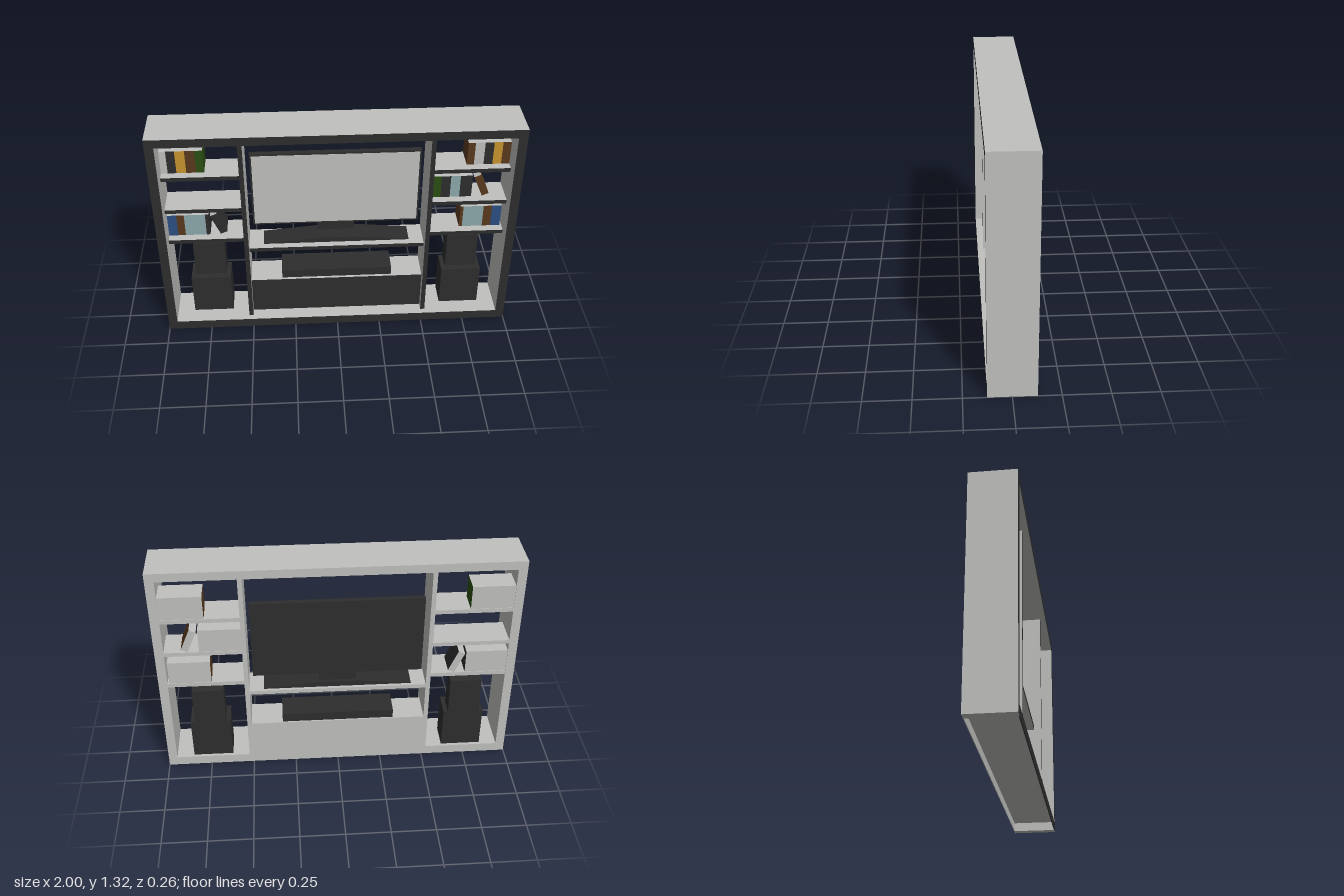
import * as THREE from 'three';

const mat = (name, color) => {
  const m = new THREE.MeshStandardMaterial({ color });
  m.name = name;
  return m;
};

export function createModel() {
  const light = mat('light grey', 0xc0c0be);
  const dark = mat('charcoal', 0x2d2d2d);
  const green = mat('green', 0x2b4f12);
  const gold = mat('gold', 0xc8952e);
  const brown = mat('brown', 0x5a3a1e);
  const blue = mat('blue', 0x2b4f82);
  const teal = mat('pale teal', 0x8ca9aa);

  const model = new THREE.Group();
  model.name = 'mediaWall';
  const group = (name) => {
    const g = new THREE.Group();
    g.name = name;
    model.add(g);
    return g;
  };

  // Box given by its limits on each axis
  function box(parent, name, [x0, x1], [y0, y1], [z0, z1], material) {
    const mesh = new THREE.Mesh(new THREE.BoxGeometry(x1 - x0, y1 - y0, z1 - z0), material);
    mesh.position.set((x0 + x1) / 2, (y0 + y1) / 2, (z0 + z1) / 2);
    mesh.name = name;
    parent.add(mesh);
    return mesh;
  }
  // Light board with a dark front edge (sides, top, bottom, front, back)
  const board = [light, light, light, light, dark, light];
  const Z = 0.128, H = 1.315;

  // Outer frame
  const frame = group('frame');
  for (const s of [-1, 1]) {
    box(frame, 'sideWall', s < 0 ? [-1, -0.95] : [0.95, 1], [0, H], [-Z, Z], board);
    box(frame, 'divider', s < 0 ? [-0.525, -0.5] : [0.5, 0.525], [0.055, 1.265], [-Z, 0.093], board);
  }
  box(frame, 'topBoard', [-0.95, 0.95], [1.265, H], [-Z, Z], board);

  // Base, open underneath
  box(frame, 'floor', [-0.95, 0.95], [0.051, 0.055], [-Z, Z], board);
  box(frame, 'frontSkirt', [-0.95, 0.95], [0, 0.051], [Z - 0.004, Z], dark);
  box(frame, 'backSkirt', [-0.95, 0.95], [0, 0.051], [-Z, -Z + 0.004], light);

  // Shelves and low cabinet
  const shelves = group('shelves');
  for (const y of [0.58, 0.79, 1.003]) {
    box(shelves, 'leftShelf', [0.525, 0.95], [y, y + 0.024], [-Z, 0.05], board);
    box(shelves, 'rightShelf', [-0.95, -0.525], [y, y + 0.024], [-Z, 0.05], board);
  }
  box(shelves, 'centreShelf', [-0.5, 0.5], [0.504, 0.528], [-Z, 0.05], board);
  box(shelves, 'cabinetTop', [-0.5, 0.5], [0.267, 0.29], [-Z, 0.05], board);
  box(shelves, 'cabinet', [-0.5, 0.5], [0.055, 0.267], [-Z, 0.047], board);

  // Television with sloping stand
  const tv = group('television');
  box(tv, 'tvBody', [-0.475, 0.475], [0.612, 1.087], [-0.095, -0.064], dark);
  box(tv, 'screen', [-0.465, 0.465], [0.622, 1.077], [-0.064, -0.062], light);
  box(tv, 'neck', [-0.105, 0.105], [0.55, 0.615], [-0.09, -0.066], dark);
  const profile = new THREE.Shape([
    [-0.417, 0.528], [0.417, 0.528], [0.417, 0.531], [0.105, 0.56], [-0.105, 0.56], [-0.417, 0.531],
  ].map(([x, y]) => new THREE.Vector2(x, y)));
  const stand = new THREE.Mesh(
    new THREE.ExtrudeGeometry(profile, { depth: 0.122, bevelEnabled: false }), dark);
  stand.position.z = -0.11;
  stand.name = 'stand';
  tv.add(stand);

  // Sound equipment
  const sound = group('soundSystem');
  box(sound, 'centreUnit', [-0.32, 0.32], [0.29, 0.343], [-0.12, 0.034], dark);
  for (const s of [-1, 1]) {
    const speaker = new THREE.Group();
    speaker.name = s > 0 ? 'leftSpeaker' : 'rightSpeaker';
    speaker.position.x = s * 0.736;
    box(speaker, 'lowerCabinet', [-0.115, 0.115], [0.055, 0.303], [-0.11, 0.03], dark);
    box(speaker, 'upperCabinet', [-0.09, 0.09], [0.303, 0.528], [-0.11, -0.01], dark);
    sound.add(speaker);
  }

  // Books: coloured covers and spine, light page edges
  const books = group('books');
  const cover = (c) => [c, c, light, light, c, light];
  const bookZ = [-0.125, 0.003];
  function row(y, edges, colours) {
    colours.forEach((c, i) =>
      box(books, 'book', [edges[i], edges[i + 1]], [y, y + 0.139], bookZ, cover(c)));
  }
  row(1.027, [-0.95, -0.913, -0.866, -0.813, -0.76, -0.717], [light, dark, gold, brown, green]);
  row(1.027, [0.715, 0.754, 0.807, 0.856, 0.904, 0.95], [brown, light, dark, gold, brown]);
  row(0.814, [0.525, 0.583, 0.636, 0.69, 0.738, 0.757], [green, dark, teal, dark, dark]);
  row(0.604, [-0.95, -0.898, -0.856, -0.797, -0.738, -0.717], [blue, brown, teal, teal, dark]);
  row(0.604, [0.705, 0.722, 0.778, 0.837, 0.885, 0.94], [brown, teal, teal, brown, blue]);

  // Leaning books
  for (const [x, y, c] of [[-0.666, 0.676, dark], [0.81, 0.886, brown]]) {
    const b = box(books, 'leaningBook', [x - 0.02, x + 0.02], [y - 0.068, y + 0.068], bookZ, cover(c));
    b.rotation.z = 0.4;
  }

  return model;
}
